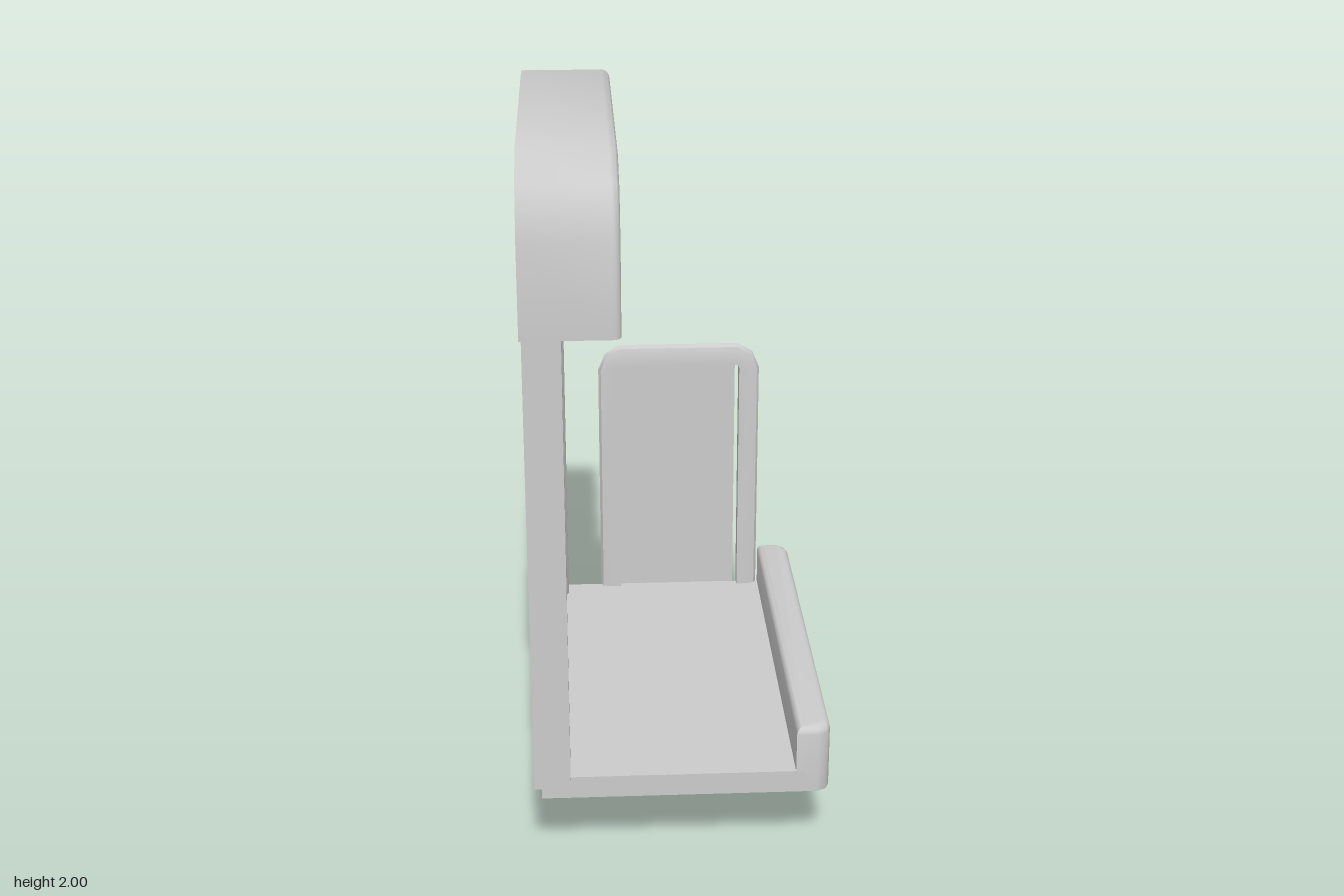
import * as THREE from 'three';
import { toCreasedNormals } from 'three/addons/utils/BufferGeometryUtils.js';

const grey = new THREE.MeshStandardMaterial({ color: 0xcccccc });
const greyThin = new THREE.MeshStandardMaterial({ color: 0xcccccc, side: THREE.DoubleSide });

// Skin a list of cross-section rings; closed rings also get end caps
function skin(rings, closed) {
  const n = rings[0].length;
  const index = [];
  for (let i = 0; i < rings.length - 1; i++) {
    for (let j = 0; j < (closed ? n : n - 1); j++) {
      const k = (j + 1) % n;
      const a = i * n + j, b = i * n + k, c = b + n, d = a + n;
      index.push(a, b, c, a, c, d);
    }
  }
  if (closed) {
    const t = (rings.length - 1) * n;
    for (let j = 1; j < n - 1; j++) index.push(0, j + 1, j, t, t + j, t + j + 1);
  }
  const geo = new THREE.BufferGeometry();
  geo.setAttribute('position', new THREE.Float32BufferAttribute(rings.flat(2), 3));
  geo.setIndex(index);
  return toCreasedNormals(geo, 0.8);
}

// Loft a convex counter-clockwise outline along z; levels are [z, scaleX, scaleY]
function loft(outline, levels) {
  return skin(levels.map(([w, su, sv]) => outline.map(([u, v]) => [u * su, v * sv, w])), true);
}

// Levels whose far end is rounded over by radius r
function roundedLevels(start, end, r, halfU, sizeV) {
  const levels = [[start, 1, 1]];
  for (let i = 0; i <= 4; i++) {
    const a = (i / 4) * Math.PI / 2;
    const inset = r * (1 - Math.cos(a));
    levels.push([end - r + r * Math.sin(a), 1 - inset / halfU, 1 - inset / sizeV]);
  }
  return levels;
}

export function createModel() {
  const group = new THREE.Group();
  const add = (name, geo, x = 0, y = 0, z = 0, mat = grey) => {
    const mesh = new THREE.Mesh(geo, mat);
    mesh.name = name;
    mesh.position.set(x, y, z);
    group.add(mesh);
    return mesh;
  };

  // Floor slab
  add('floorSlab', new THREE.BoxGeometry(0.725, 0.065, 1.19), -0.0225, 0.2425, 0);

  // Raised lip along the open side, with rounded outer corners
  const lipOutline = [
    [-0.0475, -0.595], [0.012, -0.595], [0.037, -0.582], [0.0475, -0.555],
    [0.0475, 0.555], [0.037, 0.582], [0.012, 0.595], [-0.0475, 0.595],
  ];
  add('sideLip', loft(lipOutline, roundedLevels(0, 0.2, 0.022, 0.0475, 0.595)).rotateX(-Math.PI / 2), 0.3625, 0.21, 0);

  // Posts with one chamfered inner corner, mirrored front to back
  const postOutline = [[-0.405, -0.62], [-0.305, -0.62], [-0.305, -0.533], [-0.345, -0.465], [-0.405, -0.465]];
  const mirrored = postOutline.map(([x, v]) => [x, -v]).reverse();
  for (const [name, outline] of [['frontPost', postOutline], ['backPost', mirrored]]) {
    add(name, loft(outline, [[0.255, 1, 1], [1.57, 1, 1]]).rotateX(-Math.PI / 2));
  }

  // Header with sloped shoulders and a rounded inner edge
  const headerOutline = [
    [-0.655, 0], [0.655, 0], [0.655, 0.25], [0.6, 0.38], [0.465, 0.44],
    [-0.465, 0.44], [-0.6, 0.38], [-0.655, 0.25],
  ];
  add('header', loft(headerOutline, roundedLevels(-0.41, -0.155, 0.022, 0.655, 0.44)).rotateY(Math.PI / 2), 0, 1.56, 0);

  // Thin back panel hanging below the floor
  add('backPanel', new THREE.PlaneGeometry(0.38, 1.045), 0.045, 0.5225, -0.615, greyThin);

  // Panel frame: a rounded channel, open behind, swept up, across and down
  const halfPath = [
    [[0.19, 0.25], [0.254, 0.25]],
    [[0.19, 1.03], [0.254, 1.025]],
    [[0.187, 1.037], [0.232, 1.078]],
    [[0.18, 1.04], [0.185, 1.105]],
  ];
  const path = [
    ...halfPath.map((s) => s.map(([x, y]) => [-x, y])),
    ...halfPath.slice().reverse(),
  ];
  const channel = [[0.7, 0], [0.87, 0.1], [1, 0.45], [0.88, 0.82], [0.5, 1], [0, 1], [0, 0]];
  const rings = path.map(([inner, outer]) => channel.map(([u, h]) => [
    inner[0] + (outer[0] - inner[0]) * u,
    inner[1] + (outer[1] - inner[1]) * u,
    h * 0.042,
  ]));
  add('panelFrame', skin(rings, false), 0.056, 0, -0.617, greyThin);

  return group;
}
